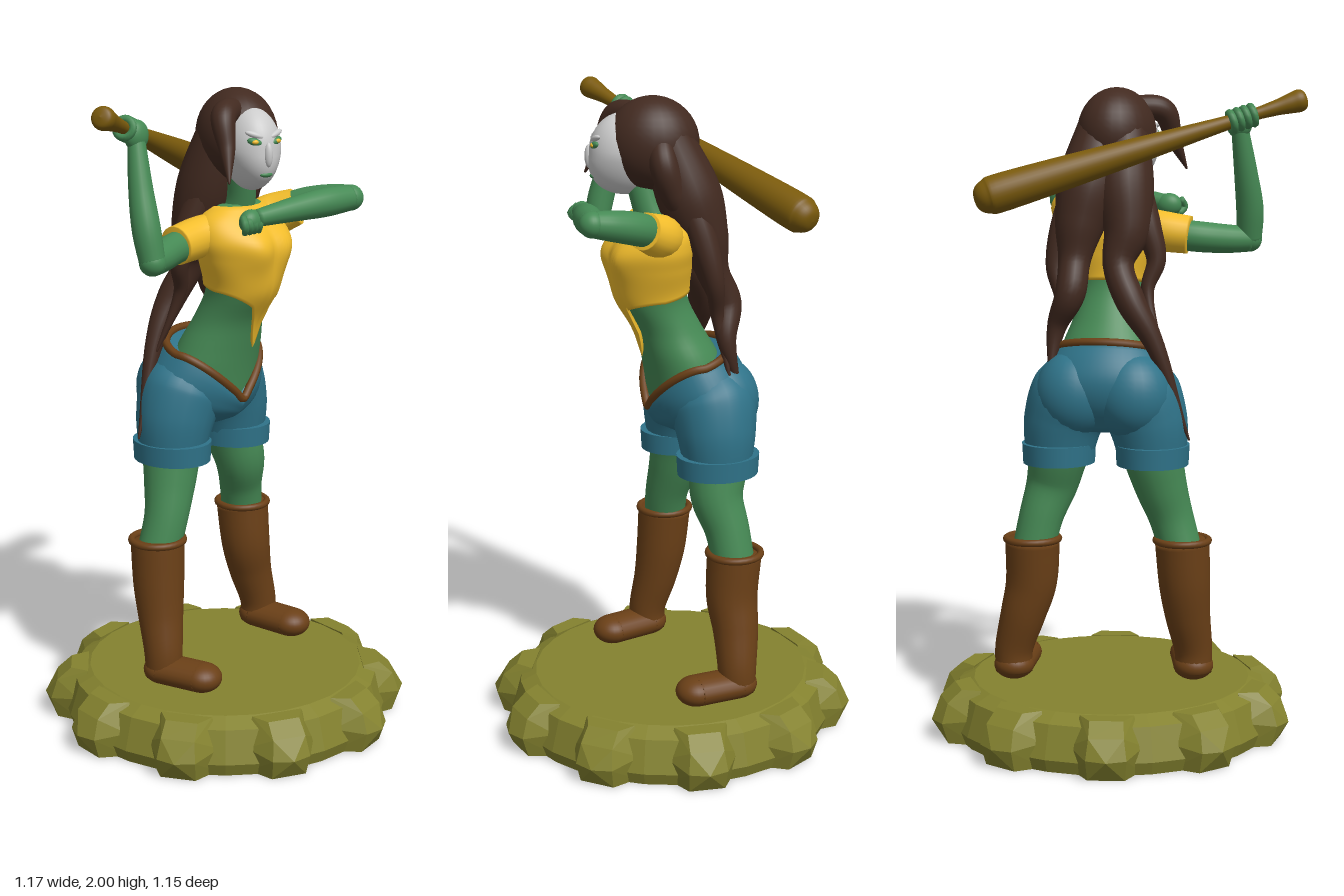
import * as THREE from 'three';
import { ConvexGeometry } from 'three/addons/geometries/ConvexGeometry.js';

const V = (p) => new THREE.Vector3(...p);
const paint = (color, flatShading = false) => new THREE.MeshStandardMaterial({ color, flatShading, roughness: 0.8 });

export function createModel() {
  const model = new THREE.Group();
  const skin = paint(0x468a55), yellow = paint(0xf2bd2c), denim = paint(0x2f7389), leather = paint(0x6b4017);
  const hairMat = paint(0x422a20), stone = paint(0x84822f, true), wood = paint(0x7a5a0c), maskMat = paint(0xcccccc);

  function add(name, geometry, material, parent = model) {
    const mesh = new THREE.Mesh(geometry, material);
    mesh.name = name;
    parent.add(mesh);
    return mesh;
  }
  function ball(name, material, pos, size, parent = model) {
    const mesh = add(name, new THREE.SphereGeometry(1, 28, 20), material, parent);
    mesh.position.set(...pos);
    mesh.scale.set(...size);
    return mesh;
  }
  // Smooth table lookup: rows of [key, ...values]
  function table(rows) {
    const n = rows[0].length - 1;
    const f = new THREE.CubicInterpolant(rows.map((r) => r[0]), rows.flatMap((r) => r.slice(1)), n, new Float32Array(n));
    return (key) => f.evaluate(key);
  }
  // Surface through closed rings of points, capped at both ends
  function loft(rings) {
    const n = rings[0].length, pos = [], index = [];
    rings.forEach((r) => r.forEach((p) => pos.push(p.x, p.y, p.z)));
    for (let i = 0; i < rings.length - 1; i++) {
      for (let j = 0; j < n; j++) {
        const a = i * n + j, b = i * n + (j + 1) % n;
        index.push(a, a + n, b, b, a + n, b + n);
      }
    }
    [0, rings.length - 1].forEach((i) => {
      const c = rings[i].reduce((s, p) => s.add(p), new THREE.Vector3()).divideScalar(n);
      const id = pos.length / 3;
      pos.push(c.x, c.y, c.z);
      for (let j = 0; j < n; j++) {
        const a = i * n + j, b = i * n + (j + 1) % n;
        index.push(id, ...(i ? [b, a] : [a, b]));
      }
    });
    const g = new THREE.BufferGeometry();
    g.setAttribute('position', new THREE.Float32BufferAttribute(pos, 3));
    g.setIndex(index);
    g.computeVertexNormals();
    return g;
  }
  const circle = (n, f) => Array.from({ length: n }, (_, j) => f(j / n * Math.PI * 2));
  // Tapered tube: points are [x, y, z, radius]
  function limb(name, material, pts, parent = model, steps = 28, sides = 20) {
    const curve = new THREE.CatmullRomCurve3(pts.map((p) => V(p.slice(0, 3))));
    const radius = table(pts.map((p, i) => [i, p[3]]));
    const fr = curve.computeFrenetFrames(steps, false);
    const rings = [];
    for (let i = 0; i <= steps; i++) {
      const t = curve.getUtoTmapping(i / steps);
      const c = curve.getPoint(t), r = Math.max(0.002, radius(t * (pts.length - 1))[0]);
      rings.push(circle(sides, (a) => c.clone()
        .addScaledVector(fr.normals[i], r * Math.cos(a)).addScaledVector(fr.binormals[i], -r * Math.sin(a))));
    }
    return add(name, loft(rings), material, parent);
  }

  // Gear-shaped stand
  add('standDisc', new THREE.LatheGeometry([[0, 0], [0.5, 0], [0.515, 0.04], [0.485, 0.14], [0.435, 0.165], [0, 0.165]]
    .map((p) => new THREE.Vector2(...p)), 30), stone);
  const corners = [[0.08, 0.165, 0.44], [0.05, 0.165, 0.495], [0.052, 0.125, 0.54], [0.06, 0.065, 0.56], [0.055, 0, 0.54],
    [0.1, 0, 0.46], [0.11, 0.08, 0.47], [0, 0.065, 0.58]];
  const tooth = new ConvexGeometry(corners.flatMap(([x, y, z]) => [V([x, y, z]), V([-x, y, z])]));
  for (let i = 0; i < 10; i++) add('standTooth', tooth, stone).rotation.y = (8.7 + 36 * i) * Math.PI / 180;

  // Legs, boots and shorts legs
  const legs = [
    { side: 'right', hip: [-0.1, 1.07, -0.09], cuff: [-0.145, 0.89, -0.09], knee: [-0.2, 0.69, -0.065], top: [-0.235, 0.62, -0.07],
      ankle: [-0.265, 0.26, -0.02], toe: [-0.235, 0.115] },
    { side: 'left', hip: [0.1, 1.07, -0.1], cuff: [0.145, 0.89, -0.1], knee: [0.2, 0.69, -0.11], top: [0.225, 0.62, -0.125],
      ankle: [0.29, 0.26, -0.11], toe: [0.297, 0.03] }];
  for (const L of legs) {
    const [tx, ty, tz] = L.top, [cx, cy, cz] = L.cuff, [hx, , hz] = L.ankle, [fx, fz] = L.toe;
    limb(L.side + 'Leg', skin, [[...L.hip, 0.11], [cx, cy, cz, 0.093], [cx * 1.17, 0.79, cz + 0.012, 0.081], [...L.knee, 0.069], [tx, ty - 0.05, tz, 0.066]]);
    limb(L.side + 'Boot', leather, [[...L.top, 0.085], [tx * 1.03, 0.48, tz + 0.01, 0.08],
      [(tx + hx) / 2, 0.38, (tz + hz) / 2, 0.071], [...L.ankle, 0.06], [hx, 0.19, hz, 0.058]]);
    const rim = add(L.side + 'BootRim', new THREE.TorusGeometry(0.081, 0.011, 10, 32), leather);
    rim.rotation.x = Math.PI / 2;
    rim.position.set(...L.top);
    // Foot, flattened onto the stand
    const foot = new THREE.Group();
    foot.name = L.side + 'Foot';
    foot.scale.y = 0.72;
    foot.position.y = 0.165 * 0.28;
    model.add(foot);
    limb('footUpper', leather, [[hx, 0.228, hz, 0.063], [fx, 0.228, fz, 0.063]], foot);
    for (const [x, z] of [[hx, hz], [fx, fz]]) ball('footEnd', leather, [x, 0.228, z], [0.063, 0.063, 0.063], foot);
    limb(L.side + 'ShortsLeg', denim, [[cx * 0.5, 1.13, cz + 0.01, 0.11], [...L.hip, 0.132], [cx * 0.9, 0.99, cz, 0.123], [cx, cy, cz, 0.106]]);
    const cuff = add(L.side + 'ShortsCuff', new THREE.CylinderGeometry(0.113, 0.11, 0.062, 32), denim);
    cuff.position.set(...L.cuff);
    cuff.scale.z = 1.15;
    ball(L.side + 'Buttock', denim, [cx * 0.62, 1.075, -0.13], [0.122, 0.135, 0.118]);
  }

  // Shorts top, V-shaped at the front and higher at the back
  const waist = (a) => 1.2 - (Math.sin(a) > 0 ? 0.15 * (1 - Math.abs(Math.cos(a))) : 0.04 * Math.sin(a));
  const hips = table([[0, -0.09, 0.11, 0.08], [0.3, -0.09, 0.19, 0.135], [0.6, -0.085, 0.208, 0.152], [0.85, -0.065, 0.185, 0.143], [1, -0.05, 0.165, 0.125]]);
  const hipPoint = (t, a) => {
    const [z, rx, rz] = hips(t);
    return V([rx * Math.cos(a), 0.965 + (waist(a) - 0.965) * t, z + rz * Math.sin(a)]);
  };
  add('shorts', loft(Array.from({ length: 17 }, (_, i) => circle(48, (a) => hipPoint(i / 16, a)))), denim);
  const beltPath = new THREE.CatmullRomCurve3(circle(32, (a) => hipPoint(1, a)), true);
  add('belt', new THREE.TubeGeometry(beltPath, 96, 0.013, 8, true), leather);

  // Torso, with the bust raised smoothly from the front
  const trunk = table([[1.02, 0, -0.06, 0.15, 0.115], [1.15, 0, -0.045, 0.155, 0.12], [1.22, 0.005, -0.025, 0.14, 0.115], [1.3, 0.005, 0.01, 0.113, 0.103],
    [1.4, 0.005, 0.062, 0.108, 0.107], [1.5, 0.005, 0.065, 0.14, 0.11], [1.56, 0.005, 0.06, 0.155, 0.108], [1.62, 0.005, 0.05, 0.135, 0.082], [1.66, 0, 0.05, 0.075, 0.055]]);
  const trunkPoint = (y, a, out) => {
    const [x, z, rx, rz] = trunk(y);
    const c = Math.cos(a), s = Math.sin(a);
    const bust = s > 0 ? 0.032 * s * Math.exp(-(((y - 1.53) / 0.065) ** 2) - ((Math.abs(c) - 0.42) / 0.42) ** 2) : 0;
    return V([x + (rx + out) * c, y, z + (rz + out) * s + bust]);
  };
  add('torso', loft(Array.from({ length: 33 }, (_, i) => circle(40, (a) => trunkPoint(1.02 + 0.02 * i, a, 0)))), skin);
  limb('neck', skin, [[0, 1.6, 0.04, 0.06], [-0.01, 1.68, 0.07, 0.047], [-0.03, 1.78, 0.09, 0.047]]);

  // Cropped top with a pointed tail at the front
  const drop = [[-1, 0], [-0.35, 0.05], [-0.1, 0.1], [0.08, 0.195], [0.25, 0.12], [0.36, 0.03], [1, 0]];
  const hem = (a) => {
    const c = Math.cos(a);
    if (Math.sin(a) <= 0) return 1.4 - 0.02 * Math.sin(a);
    const k = drop.findIndex((d, i) => i < drop.length - 1 && c >= d[0] && c <= drop[i + 1][0]);
    const [p, q] = [drop[k], drop[k + 1]];
    return 1.4 - p[1] - (q[1] - p[1]) * (c - p[0]) / (q[0] - p[0]);
  };
  add('croppedTop', loft(Array.from({ length: 29 }, (_, i) => circle(96, (a) => {
    const y = hem(a) + (1.655 - hem(a)) * i / 28;
    return trunkPoint(y, a, 0.01);
  }))), yellow);

  // Right arm raised, gripping the bat
  limb('rightSleeve', yellow, [[-0.07, 1.58, 0.04, 0.06], [-0.15, 1.565, 0.02, 0.062], [-0.24, 1.553, 0.02, 0.058]]);
  limb('rightUpperArm', skin, [[-0.15, 1.56, 0.02, 0.045], [-0.26, 1.548, 0.03, 0.047], [-0.35, 1.54, 0.065, 0.044], [-0.415, 1.538, 0.095, 0.039]]);
  ball('rightElbow', skin, [-0.415, 1.538, 0.095], [0.039, 0.039, 0.039]);
  limb('rightForearm', skin, [[-0.415, 1.535, 0.095, 0.038], [-0.418, 1.63, 0.075, 0.042], [-0.408, 1.74, 0.045, 0.036], [-0.39, 1.89, 0.01, 0.025]]);
  ball('rightPalm', skin, [-0.39, 1.89, 0.012], [0.04, 0.045, 0.03]);

  // Left arm folded across the chest
  limb('leftSleeve', yellow, [[0.07, 1.585, 0.05, 0.06], [0.125, 1.605, 0.08, 0.066], [0.165, 1.635, 0.145, 0.056]]);
  limb('leftUpperArm', skin, [[0.12, 1.61, 0.08, 0.045], [0.175, 1.645, 0.17, 0.049], [0.2, 1.665, 0.255, 0.045], [0.207, 1.675, 0.318, 0.038]]);
  ball('leftElbow', skin, [0.207, 1.675, 0.318], [0.039, 0.039, 0.039]);
  limb('leftForearm', skin, [[0.207, 1.675, 0.318, 0.038], [0.11, 1.67, 0.298, 0.043], [0, 1.66, 0.27, 0.036], [-0.13, 1.645, 0.235, 0.025]]);
  ball('leftPalm', skin, [-0.145, 1.637, 0.23], [0.04, 0.036, 0.03]);
  for (let i = 0; i < 4; i++) {
    const x = -0.182 + i * 0.02;
    limb('leftFinger', skin, [[x, 1.655, 0.232, 0.011], [x - 0.01, 1.63, 0.252, 0.011], [x + 0.005, 1.607, 0.235, 0.009]], model, 8, 8);
  }

  // Bat, with the gripping fingers wrapped round its handle
  const knob = V([-0.565, 1.957, 0.058]), tip = V([0.33, 1.672, -0.297]);
  const axis = tip.clone().sub(knob), len = axis.length();
  const bat = new THREE.Group();
  bat.name = 'bat';
  bat.position.copy(knob);
  bat.quaternion.setFromUnitVectors(V([0, 1, 0]), axis.normalize());
  model.add(bat);
  const profile = new THREE.SplineCurve([[0, -0.025], [0.026, -0.018], [0.034, 0], [0.03, 0.03], [0.022, 0.09], [0.02, 0.2], [0.043, 0.6],
    [0.057, len - 0.07], [0.05, len - 0.01], [0.03, len + 0.018], [0, len + 0.025]].map((p) => new THREE.Vector2(...p)));
  add('batBody', new THREE.LatheGeometry(profile.getPoints(60).map((p) => p.setX(Math.max(0, p.x))), 32), wood, bat);
  for (let i = 0; i < 4; i++) {
    const finger = add('rightFinger', new THREE.TorusGeometry(0.026, 0.012, 8, 20), skin, bat);
    finger.rotation.x = Math.PI / 2;
    finger.position.y = 0.152 + i * 0.022;
  }

  // Head turned slightly to its right, with a pale mask
  const head = new THREE.Group();
  head.name = 'head';
  head.position.set(-0.027, 1.83, 0.1);
  head.rotation.y = -0.32;
  model.add(head);
  const face = new THREE.SphereGeometry(1, 36, 28), fp = face.attributes.position;
  for (let i = 0; i < fp.count; i++) {
    const low = Math.max(0, -fp.getY(i));
    fp.setX(i, fp.getX(i) * (1 - 0.2 * low));
    fp.setZ(i, fp.getZ(i) * (1 + 0.2 * low));
  }
  face.computeVertexNormals();
  const mask = add('mask', face, maskMat, head);
  mask.scale.set(0.085, 0.122, 0.105);
  mask.position.z = 0.035;
  ball('nose', maskMat, [0, -0.008, 0.138], [0.013, 0.036, 0.014], head);
  for (const s of [-1, 1]) {
    const eye = ball('eyeSocket', skin, [s * 0.036, 0.03, 0.122], [0.023, 0.011, 0.01], head);
    eye.rotation.set(0, s * 0.4, s * 0.25);
    ball('iris', yellow, [s * 0.036, 0.03, 0.127], [0.012, 0.007, 0.008], head);
    ball('brow', maskMat, [s * 0.036, 0.05, 0.119], [0.028, 0.009, 0.01], head).rotation.set(0, s * 0.4, s * 0.3);
  }
  ball('mouth', skin, [0, -0.066, 0.127], [0.021, 0.008, 0.01], head);
  ball('hairCap', hairMat, [0.003, 0.03, -0.05], [0.117, 0.14, 0.14], head);

  // Wavy hair locks
  const locks = [
    [[0.03, 1.9, 0.03, 0.07], [0.06, 1.71, -0.035, 0.098], [0.085, 1.58, -0.075, 0.075], [0.095, 1.48, -0.1, 0.05],
      [0.1, 1.38, -0.143, 0.046], [0.145, 1.28, -0.125, 0.03], [0.16, 1.12, -0.165, 0.003]],
    [[-0.035, 1.9, 0.03, 0.07], [-0.045, 1.71, -0.03, 0.092], [-0.06, 1.57, -0.07, 0.072], [-0.04, 1.47, -0.1, 0.048],
      [-0.085, 1.36, -0.14, 0.045], [-0.155, 1.24, -0.145, 0.03], [-0.262, 0.94, -0.12, 0.003]],
    [[0.07, 1.8, 0.01, 0.04], [0.13, 1.6, -0.05, 0.044], [0.158, 1.46, -0.08, 0.03], [0.135, 1.35, -0.1, 0.02], [0.175, 1.14, -0.13, 0.003]],
    [[-0.06, 1.75, 0, 0.05], [-0.12, 1.58, -0.04, 0.042], [-0.148, 1.48, -0.05, 0.03], [-0.125, 1.39, -0.07, 0.02], [-0.18, 1.2, -0.12, 0.003]],
    [[-0.01, 1.935, 0.07, 0.035], [-0.14, 1.93, 0.12, 0.038], [-0.17, 1.84, 0.16, 0.024], [-0.205, 1.75, 0.2, 0.003]],
    [[0.02, 1.92, 0.04, 0.03], [0.098, 1.82, 0.06, 0.042], [0.1, 1.73, 0.03, 0.042], [0.09, 1.64, -0.02, 0.03]]];
  locks.forEach((pts) => limb('hairLock', hairMat, pts, model, 48));
  return model;
}
